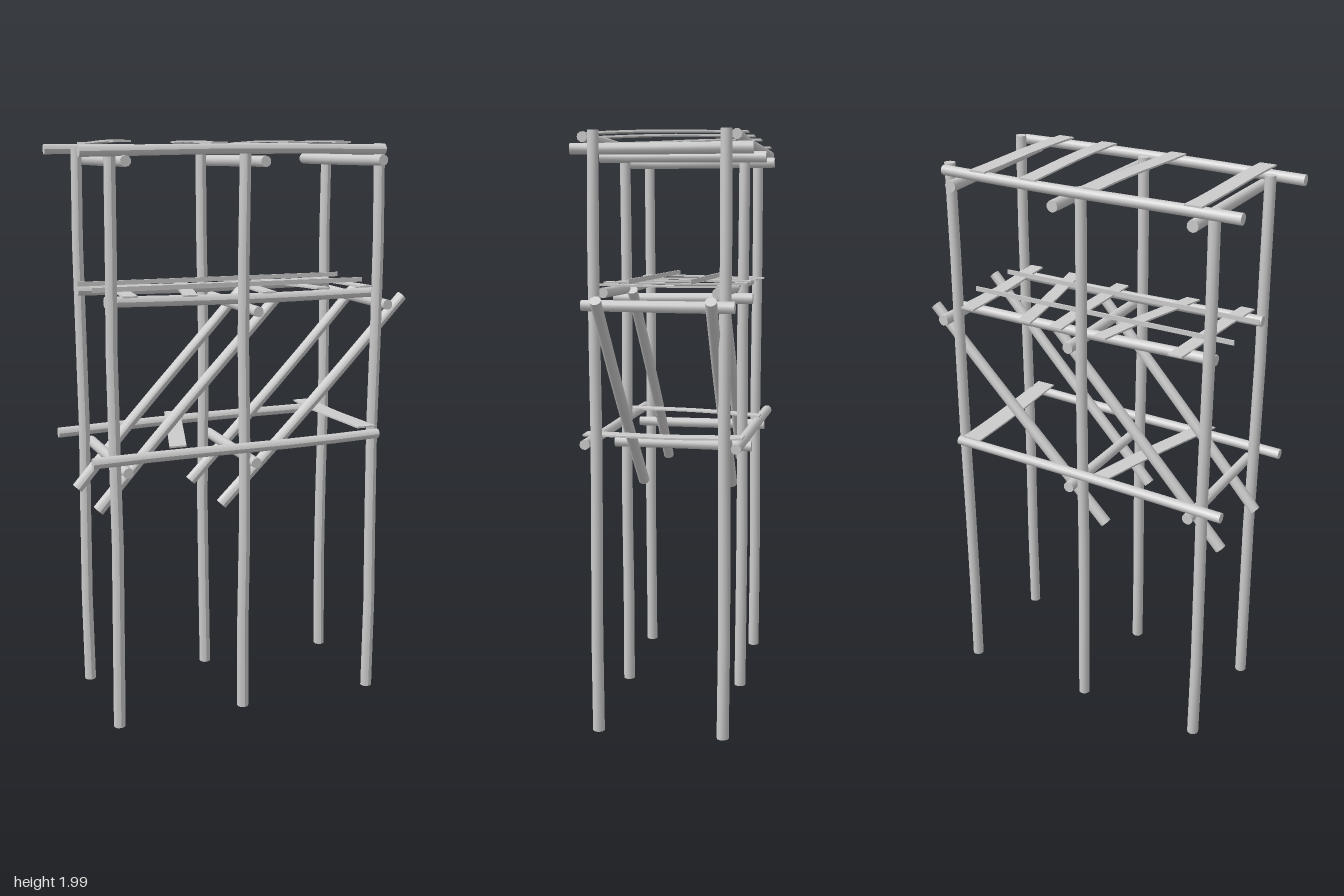
import * as THREE from 'three';

const wood = new THREE.MeshStandardMaterial({ color: 0xcccccc });

// Small seeded random for the hand-cut irregularity
let seed = 7;
const wobble = (amount) => {
  seed = (seed * 16807) % 2147483647;
  return (seed / 2147483647 - 0.5) * 2 * amount;
};

export function createModel() {
  const model = new THREE.Group();
  model.name = 'scaffold';

  const add = (name, geometry) => {
    const mesh = new THREE.Mesh(geometry, wood);
    mesh.name = name;
    model.add(mesh);
    return mesh;
  };

  // Round pole between two points, bent very slightly along its length
  const pole = (name, from, to, radius = 0.02) => {
    const a = new THREE.Vector3(...from), b = new THREE.Vector3(...to);
    const dir = b.clone().sub(a);
    const length = dir.length();
    const geometry = new THREE.CylinderGeometry(radius * 0.95, radius * 1.03, length, 10, 6);
    const p = geometry.attributes.position;
    const phase = wobble(3);
    for (let i = 0; i < p.count; i++) {
      const bend = 0.003 * Math.sin(p.getY(i) * 5 + phase);
      p.setX(i, p.getX(i) + bend);
      p.setZ(i, p.getZ(i) + bend * 0.5);
    }
    geometry.computeVertexNormals();
    const mesh = add(name, geometry);
    mesh.position.copy(a).add(b).multiplyScalar(0.5);
    mesh.quaternion.setFromUnitVectors(new THREE.Vector3(0, 1, 0), dir.normalize());
  };

  // Thin warped board laid across the depth, sheared from xBack to xFront
  const plank = (name, xBack, xFront, y, width = 0.058, zBack = -0.265, zFront = 0.26) => {
    const geometry = new THREE.BoxGeometry(width, 0.006, zFront - zBack, 1, 1, 6);
    const p = geometry.attributes.position;
    const phase = wobble(3);
    for (let i = 0; i < p.count; i++) {
      const z = p.getZ(i);
      const t = z / (zFront - zBack) + 0.5;
      p.setX(i, p.getX(i) + xBack + (xFront - xBack) * t);
      p.setY(i, p.getY(i) + y + 0.003 * Math.sin(z * 9 + phase));
      p.setZ(i, z + (zBack + zFront) / 2);
    }
    geometry.computeVertexNormals();
    add(name, geometry);
  };

  for (const side of [1, -1]) {
    // Upright posts
    for (const [x, top] of [[-0.495, 1.97], [-0.035, 1.97], [0.46, 1.985]]) {
      pole('post', [x, 0, 0.212 * side], [x, top, 0.212 * side]);
    }
    // Long rails at the three levels
    pole('topRail', [-0.6, 1.962, 0.245 * side], [0.46, 1.967, 0.245 * side], 0.018);
    pole('middleRail', [-0.51, 1.478, 0.185 * side], [0.46, 1.473, 0.185 * side], 0.018);
    pole('lowerRail', [-0.58, 0.96, 0.25 * side], [0.46, 0.98, 0.25 * side], 0.018);
    // Diagonal braces
    pole('rearBrace', [-0.54, 0.77, 0.147 * side], [0.1, 1.47, 0.16 * side]);
    pole('frontBrace', [-0.1, 0.75, 0.165 * side], [0.58, 1.455, 0.182 * side]);
    // Slats set on edge over the middle deck
    const slat = add('slat', new THREE.BoxGeometry(0.99, 0.016, 0.006));
    slat.position.set(-0.035, 1.511, 0.1 * side);
  }

  // Cross beams: back x, front x, height, half length
  const beams = [
    ['topBeam', -0.455, -0.46, 1.93, 0.28],
    ['topBeam', 0.015, 0.01, 1.925, 0.295],
    ['topBeam', 0.405, 0.432, 1.93, 0.292],
    ['middleBeam', 0.0, 0.0, 1.435, 0.25],
    ['middleBeam', 0.498, 0.49, 1.435, 0.248],
    ['lowerBeam', -0.46, -0.46, 0.918, 0.25],
    ['lowerBeam', 0.0, 0.0, 0.91, 0.25],
  ];
  for (const [name, xBack, xFront, y, half] of beams) {
    pole(name, [xBack, y, -half], [xFront, y, half], 0.019);
  }

  // Top deck
  for (const [b, f] of [[-0.448, -0.463], [-0.105, -0.14], [0.125, 0.127], [0.315, 0.298]]) {
    plank('topPlank', b, f, 1.988);
  }
  // Middle deck
  for (const [b, f] of [[-0.395, -0.435], [-0.12, -0.23], [0.045, 0.052], [0.165, 0.25], [0.395, 0.415]]) {
    plank('middlePlank', b, f, 1.497, 0.05, -0.25, 0.225);
  }
  // Lower deck
  plank('lowerPlank', -0.14, -0.29, 1.0, 0.06);
  plank('lowerPlank', 0.395, 0.41, 1.005, 0.07);

  return model;
}
